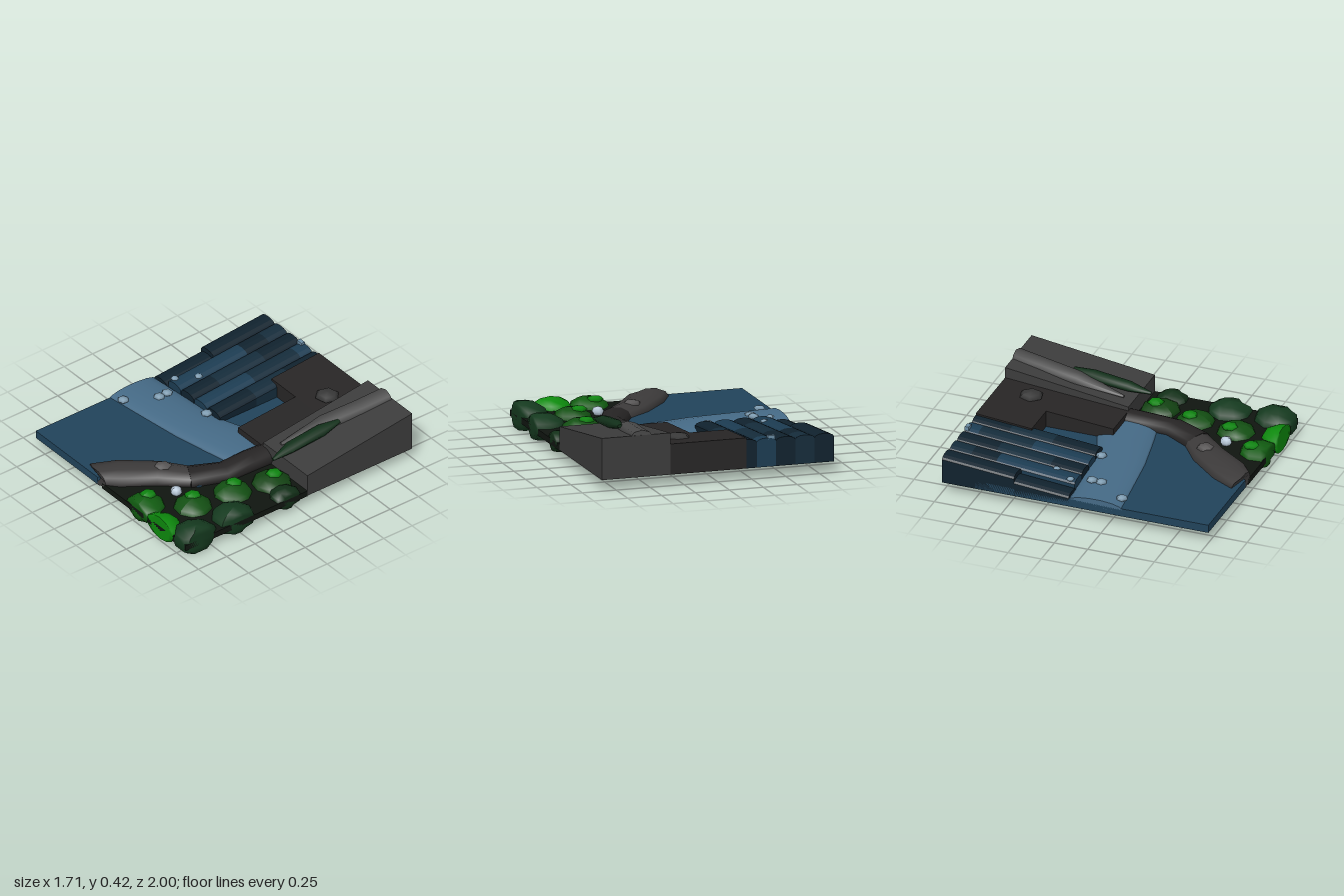
import * as THREE from 'three';

const LIMIT_X = 0.855, LIMIT_Z = 1;

export function createModel() {
  const root = new THREE.Group();
  root.name = 'riverDiorama';

  const add = (name, geo, color, flat = false) => {
    // Trim everything to the rectangular edge of the diorama
    const p = geo.attributes.position;
    for (let i = 0; i < p.count; i++) {
      p.setX(i, THREE.MathUtils.clamp(p.getX(i), -LIMIT_X, LIMIT_X));
      p.setZ(i, THREE.MathUtils.clamp(p.getZ(i), -LIMIT_Z, LIMIT_Z));
    }
    geo.computeVertexNormals();
    const mesh = new THREE.Mesh(geo, new THREE.MeshStandardMaterial({ color, flatShading: flat }));
    mesh.name = name;
    root.add(mesh);
    return mesh;
  };

  // Skin closed rings (counter-clockwise about the direction of travel), with capped ends
  const loft = (rings) => {
    const n = rings[0].length, pos = rings.flat(2), idx = [];
    for (let r = 0; r < rings.length - 1; r++) {
      for (let i = 0; i < n; i++) {
        const a = r * n + i, b = r * n + (i + 1) % n;
        idx.push(a, b, a + n, b, b + n, a + n);
      }
    }
    [rings[0], rings[rings.length - 1]].forEach((ring, end) => {
      const s = pos.length / 3;
      pos.push(...ring.flat());
      for (let i = 1; i < n - 1; i++) idx.push(s, end ? s + i : s + i + 1, end ? s + i + 1 : s + i);
    });
    const g = new THREE.BufferGeometry();
    g.setAttribute('position', new THREE.Float32BufferAttribute(pos, 3));
    g.setIndex(idx);
    return g;
  };

  // Elliptical tube through [x, y, z, halfWidth, halfHeight]; floor flattens its underside
  const tube = (path, sides = 8, floor = -Infinity, fixedDir = null) => loft(path.map((c, k) => {
    const a = path[Math.max(k - 1, 0)], b = path[Math.min(k + 1, path.length - 1)];
    const d = fixedDir || new THREE.Vector3(b[0] - a[0], 0, b[2] - a[2]).normalize();
    return Array.from({ length: sides }, (_, i) => {
      const t = (i / sides) * Math.PI * 2, w = Math.cos(t) * c[3];
      return [c[0] + d.z * w, Math.max(floor, c[1] + Math.sin(t) * c[4]), c[2] - d.x * w];
    });
  }));

  // Block with a top that slopes from the back height to the front height
  const wedge = (name, x0, x1, z0, z1, yBack, yFront, color) => {
    const ring = (z, y) => [[x1, 0.08, z], [x1, y, z], [x0, y, z], [x0, 0.08, z]];
    add(name, loft([ring(z0, yBack), ring(z1, yFront)]), color, true);
  };

  // Flat slab from an [x, z] outline
  const slab = (name, outline, y0, y1, color) => {
    const shape = new THREE.Shape(outline.map(([x, z]) => new THREE.Vector2(x, -z)));
    const g = new THREE.ExtrudeGeometry(shape, { depth: y1 - y0, bevelEnabled: false });
    g.rotateX(-Math.PI / 2).translate(0, y0, 0);
    add(name, g, color, true);
  };

  const blob = (name, [x, y, z], rx, ry, rz, color, sides = 9, rows = 6, flat = false) => {
    const g = new THREE.SphereGeometry(1, sides, rows);
    g.scale(rx, ry, rz).rotateY(0.3 * (x + z) * 5).translate(x, y, z);
    return add(name, g, color, flat);
  };

  // Water and ground
  slab('riverWater', [[-0.855, -0.75], [0.1, -0.75], [0.1, -0.12], [0.36, -0.12], [0.36, 0.5],
    [0.05, 0.7], [-0.15, 1], [-0.855, 1]], 0.08, 0.14, 0x21435a);
  slab('forestFloor', [[0.35, -0.075], [0.855, -0.075], [0.855, 1], [-0.1, 1], [0.1, 0.7], [0.35, 0.5]],
    0.075, 0.12, 0x101510);

  // Rounded swell of foam below the falls
  add('foamSwell', tube([
    [-0.855, 0.13, 0.15, 0.205, 0.045], [-0.2, 0.13, 0.085, 0.19, 0.05],
    [0.06, 0.13, 0.01, 0.215, 0.05], [0.3, 0.13, -0.01, 0.18, 0.05],
  ], 14, 0.11, new THREE.Vector3(1, 0, 0)), 0x456a86);

  // Cliff blocks
  wedge('highCliff', 0.35, 0.855, -1, -0.075, 0.38, 0.25, 0x3c3c3c);
  wedge('lowCliffBack', -0.21, 0.35, -1, -0.58, 0.3, 0.262, 0x272525);
  wedge('lowCliffFront', 0.065, 0.35, -0.58, -0.075, 0.262, 0.22, 0x272525);

  // Waterfall: five domed strips, each cut into steps of differing shade
  const shades = [0x10222e, 0x152c3b, 0x1c3c52];
  const strips = [
    [[-1, 0], [-0.46, 0, -0.035], [-0.05]],
    [[-1, 1], [-0.84, 0], [-0.65, 2], [-0.06]],
    [[-1, 0], [-0.7, 1], [-0.3, 0], [-0.065]],
    [[-1, 2], [-0.9, 1], [-0.5, 2], [-0.07]],
    [[-1, 0], [-0.72, 1], [-0.4, 0], [-0.075]],
  ];
  strips.forEach((cuts, s) => {
    const cx = -0.784 + s * 0.142;
    for (let k = 0; k < cuts.length - 1; k++) {
      const [z0, shade, drop = 0] = cuts[k], z1 = cuts[k + 1][0];
      const ring = (z) => {
        const edge = 0.262 - (z + 1) * 0.09 + drop;
        const arc = Array.from({ length: 7 }, (_, i) => {
          const t = (i / 6) * Math.PI;
          return [cx + 0.071 * Math.cos(t), edge + 0.026 * Math.sin(t), z];
        });
        return [...arc, [cx - 0.071, 0.08, z], [cx + 0.071, 0.08, z]];
      };
      add('waterfallStrip', loft([ring(z0), ring(z1)]), shades[shade], true);
    }
  });

  // Curving bank of rounded rock
  add('upperBank', tube([
    [0.37, 0.15, -0.2, 0.09, 0.075], [0.355, 0.15, 0.05, 0.095, 0.072],
    [0.35, 0.145, 0.27, 0.095, 0.068], [0.24, 0.14, 0.5, 0.11, 0.066],
  ], 10), 0x262424);
  add('lowerBank', tube([
    [0.26, 0.14, 0.475, 0.1, 0.062], [0.08, 0.14, 0.64, 0.125, 0.07],
    [-0.09, 0.14, 0.86, 0.14, 0.07], [-0.18, 0.135, 1.02, 0.14, 0.06],
  ], 10), 0x3c3a3a);

  // Ridge and mossy spindle lying on the high cliff
  add('cliffRidge', tube([
    [0.56, 0.365, -1, 0.08, 0.052], [0.535, 0.34, -0.78, 0.078, 0.05],
    [0.495, 0.315, -0.5, 0.075, 0.045], [0.455, 0.265, -0.15, 0.012, 0.01],
  ], 8), 0x4a4a4a);
  add('mossSpindle', tube([
    [0.575, 0.345, -0.57, 0.02, 0.012], [0.565, 0.325, -0.42, 0.055, 0.036],
    [0.56, 0.295, -0.15, 0.055, 0.03], [0.57, 0.265, 0.01, 0.012, 0.01],
  ], 8), 0x12301a);

  // Bushes: [x, z, radius, half height, colour]
  [
    [0.62, 0.06, 0.15, 0.08, 0x134313], [0.55, 0.35, 0.145, 0.085, 0x135013],
    [0.51, 0.67, 0.145, 0.085, 0x135013], [0.3, 0.93, 0.15, 0.085, 0x115c11],
    [0.56, 1.0, 0.155, 0.09, 0x0d8a0d],
    [0.8, 0.08, 0.12, 0.075, 0x123018], [0.78, 0.52, 0.165, 0.095, 0x153a1f],
    [0.8, 0.87, 0.175, 0.105, 0x153a1f],
  ].forEach(([x, z, r, h, color]) => blob('bush', [x, 0.105, z], r, h, r, color));

  // Bright crowns on the bushes
  [[0.61, 0.03], [0.525, 0.32], [0.47, 0.64], [0.27, 0.88]].forEach(([x, z]) =>
    blob('bushCrown', [x, 0.18, z], 0.062, 0.022, 0.062, 0x0e8410, 6, 4));

  // Loose stones
  blob('cliffStone', [0.21, 0.28, -0.75], 0.09, 0.032, 0.09, 0x383838, 6, 4);
  blob('bankStone', [0.09, 0.195, 0.61], 0.075, 0.026, 0.065, 0x585656, 6, 4);
  blob('paleStone', [0.32, 0.145, 0.67], 0.045, 0.035, 0.045, 0xb8c8d8, 6, 4);

  // Spray droplets
  [
    [-0.6, 0.212, -0.24, 0.03], [-0.69, 0.205, -0.1, 0.03], [-0.61, 0.183, 0.03, 0.042],
    [-0.61, 0.18, 0.1, 0.042], [-0.25, 0.18, -0.04, 0.042], [-0.75, 0.165, 0.31, 0.043],
  ].forEach(([x, y, z, r]) => blob('sprayDroplet', [x, y, z], r, r * 0.45, r, 0x7d9bb0, 6, 4));
  const crest = new THREE.BoxGeometry(0.05, 0.04, 0.03);
  crest.translate(-0.395, 0.283, -0.985);
  add('crestDroplet', crest, 0x6a8ca4, true);

  return root;
}
